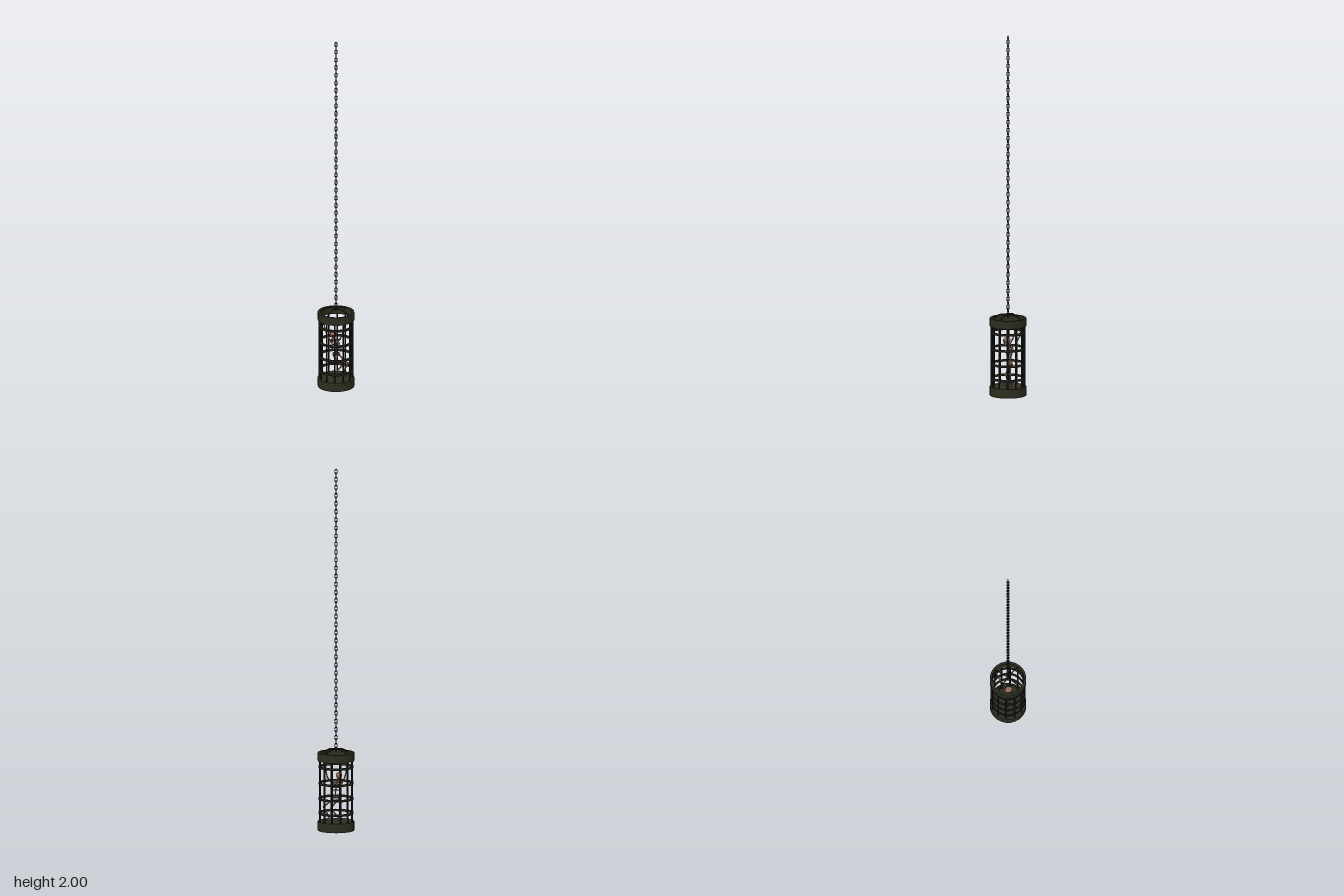
import * as THREE from 'three';

export function createModel() {
  const model = new THREE.Group();
  const mat = (name, color) => {
    const m = new THREE.MeshStandardMaterial({ color });
    m.name = name;
    return m;
  };
  const band = mat('olive iron', 0x2d2d20);
  const iron = mat('dark iron', 0x1f211a);
  const bone = mat('old bone', 0x8f6b58);
  const socket = mat('eye socket', 0x1c1512);
  band.flatShading = true;

  const V = (x, y, z) => new THREE.Vector3(x, y, z);
  const add = (parent, name, geo, material, x = 0, y = 0, z = 0) => {
    const m = new THREE.Mesh(geo, material);
    m.name = name;
    m.position.set(x, y, z);
    parent.add(m);
    return m;
  };
  const group = (name) => {
    const g = new THREE.Group();
    g.name = name;
    model.add(g);
    return g;
  };
  // Square-section hoop around the cage
  const hoop = (inner, outer, y0, y1) => new THREE.LatheGeometry([
    [inner, y0], [outer, y0], [outer, y1], [inner, y1], [inner, y0],
  ].map(([r, y]) => new THREE.Vector2(r, y)), 24);

  // Cage: floor drum, open top band, hoops and upright bars
  const cage = group('cage');
  add(cage, 'floor', new THREE.CylinderGeometry(0.1, 0.1, 0.05, 24), band, 0, 0.025);
  add(cage, 'topBand', hoop(0.087, 0.1, 0.385, 0.43), band);
  for (const y of [0.095, 0.175, 0.26, 0.35]) {
    add(cage, 'hoop', hoop(0.086, 0.095, y - 0.006, y + 0.006), iron);
  }
  const barGeo = new THREE.CylinderGeometry(0.0045, 0.0045, 0.345, 8);
  for (let i = 0; i < 12; i++) {
    const a = (i + 0.5) * Math.PI / 6;
    add(cage, 'bar', barGeo, iron, 0.09 * Math.cos(a), 0.2175, 0.09 * Math.sin(a));
  }

  // Two crossed arches that carry the cage
  for (const s of [1, -1]) {
    const arch = new THREE.CatmullRomCurve3([
      [-0.066, 0.405], [-0.06, 0.424], [-0.035, 0.443], [0, 0.449],
      [0.035, 0.443], [0.06, 0.424], [0.066, 0.405],
    ].map(([d, y]) => V(d, y, d * s)));
    add(cage, 'hangerArch', new THREE.TubeGeometry(arch, 20, 0.0035, 6), iron);
  }

  // Chain of alternating links
  const chain = group('chain');
  const linkPath = (halfW, halfL) => {
    const pts = [];
    for (let i = 0; i < 16; i++) {
      const a = (i + 0.5) / 16 * Math.PI * 2;
      pts.push(V(halfW * Math.cos(a), halfW * Math.sin(a) + Math.sign(Math.sin(a)) * (halfL - halfW), 0));
    }
    return new THREE.CatmullRomCurve3(pts, true);
  };
  const linkGeo = new THREE.TubeGeometry(linkPath(0.0062, 0.0125), 20, 0.0027, 6, true);
  const count = 70, top = 1.9848, bottom = 0.446;
  for (let i = 0; i < count; i++) {
    const y = top + (bottom - top) * i / (count - 1);
    add(chain, 'link', linkGeo, iron, 0, y, 0).rotation.y = i % 2 ? Math.PI / 2 : 0;
  }

  // Skeleton
  const skeleton = group('skeleton');
  const up = V(0, 1, 0);
  const rod = (name, a, b, r, material = bone) => {
    const A = V(...a), B = V(...b), d = B.clone().sub(A);
    const m = add(skeleton, name, new THREE.CylinderGeometry(r, r, d.length(), 7), material);
    m.position.copy(A).addScaledVector(d, 0.5);
    m.quaternion.setFromUnitVectors(up, d.normalize());
    return m;
  };
  const ball = (name, p, sx, sy = sx, sz = sx, material = bone) => {
    const m = add(skeleton, name, new THREE.SphereGeometry(1, 14, 10), material, ...p);
    m.scale.set(sx, sy, sz);
    return m;
  };
  const limb = (name, pts, r) => {
    for (let i = 0; i < pts.length - 1; i++) rod(name, pts[i], pts[i + 1], r);
    for (const p of pts) ball(name + 'Joint', p, r * 1.55);
  };

  // Skull, tilted toward its right shoulder
  ball('skull', [-0.016, 0.303, 0.002], 0.017, 0.017, 0.021);
  add(skeleton, 'jaw', new THREE.BoxGeometry(0.018, 0.013, 0.018), bone, -0.016, 0.284, 0.011);
  for (const s of [1, -1]) ball('eyeSocket', [-0.016 + s * 0.0065, 0.3, 0.0195], 0.0045, 0.0045, 0.004, socket);
  ball('noseHole', [-0.016, 0.293, 0.02], 0.002, 0.003, 0.002, socket);

  // Spine and rib cage
  const spine = new THREE.CatmullRomCurve3([
    V(-0.014, 0.285, -0.003), V(-0.006, 0.268, -0.014), V(0, 0.24, -0.022), V(0.003, 0.21, -0.015), V(0.003, 0.18, -0.014),
  ]);
  add(skeleton, 'spine', new THREE.TubeGeometry(spine, 20, 0.0035, 7), bone);
  for (let i = 0; i < 15; i++) ball('vertebra', spine.getPoint(i / 14).toArray(), 0.0055, 0.0025, 0.005);
  for (let i = 0; i < 6; i++) {
    const rib = add(skeleton, 'rib', new THREE.TorusGeometry(1, 0.085, 5, 22), bone, -0.002, 0.262 - i * 0.0085, -0.008);
    const w = [0.015, 0.02, 0.023, 0.024, 0.023, 0.02][i];
    rib.scale.set(w, w * 0.7, 0.018);
    rib.rotation.x = Math.PI / 2 + 0.2;
  }
  rod('breastbone', [-0.003, 0.263, 0.003], [-0.001, 0.225, 0.007], 0.003);

  // Pelvis
  const pelvis = add(skeleton, 'pelvis', new THREE.TorusGeometry(0.016, 0.005, 7, 18), bone, 0.003, 0.176, -0.01);
  pelvis.rotation.x = Math.PI / 2 - 0.5;
  for (const s of [1, -1]) ball('hipBlade', [0.003 + s * 0.015, 0.182, -0.011], 0.005, 0.011, 0.009);

  // Raised arms hung from the top band by shackles
  for (const s of [1, -1]) {
    const shoulder = [s * 0.029 - 0.004, 0.264, -0.013];
    const elbow = [s * 0.047, 0.298, -0.036];
    const wrist = [s * 0.058, 0.345, -0.055];
    rod('collarBone', [-0.004, 0.265, 0], shoulder, 0.0025);
    ball('shoulderBlade', [s * 0.018 - 0.003, 0.252, -0.025], 0.008, 0.012, 0.0025);
    limb('arm', [shoulder, elbow, wrist], 0.0035);
    const cuff = rod('shackle', [s * 0.057, 0.338, -0.053], [s * 0.0595, 0.35, -0.058], 0.0075, iron);
    cuff.name = 'shackle';
    rod('shackleRod', wrist, [s * 0.063, 0.39, -0.063], 0.0025, iron);
    for (let i = -1; i <= 1; i++) {
      rod('finger', [s * 0.058, 0.35, -0.056], [s * 0.056 + i * 0.004, 0.366, -0.051], 0.0017);
    }
  }

  // Bent legs, knees turned to the left side
  const leg = (hip, knee, ankle, toe) => {
    limb('leg', [hip, knee, ankle], 0.0042);
    for (let i = -1; i <= 1; i++) {
      rod('foot', ankle, [toe[0] + i * 0.002, toe[1], toe[2] + i * 0.005], 0.0025);
    }
  };
  leg([0.02, 0.173, -0.01], [0.066, 0.128, 0.004], [0.034, 0.061, -0.008], [0.052, 0.054, 0.006]);
  leg([-0.01, 0.17, -0.008], [0.027, 0.118, 0.018], [-0.018, 0.061, -0.006], [-0.008, 0.054, 0.015]);

  return model;
}
